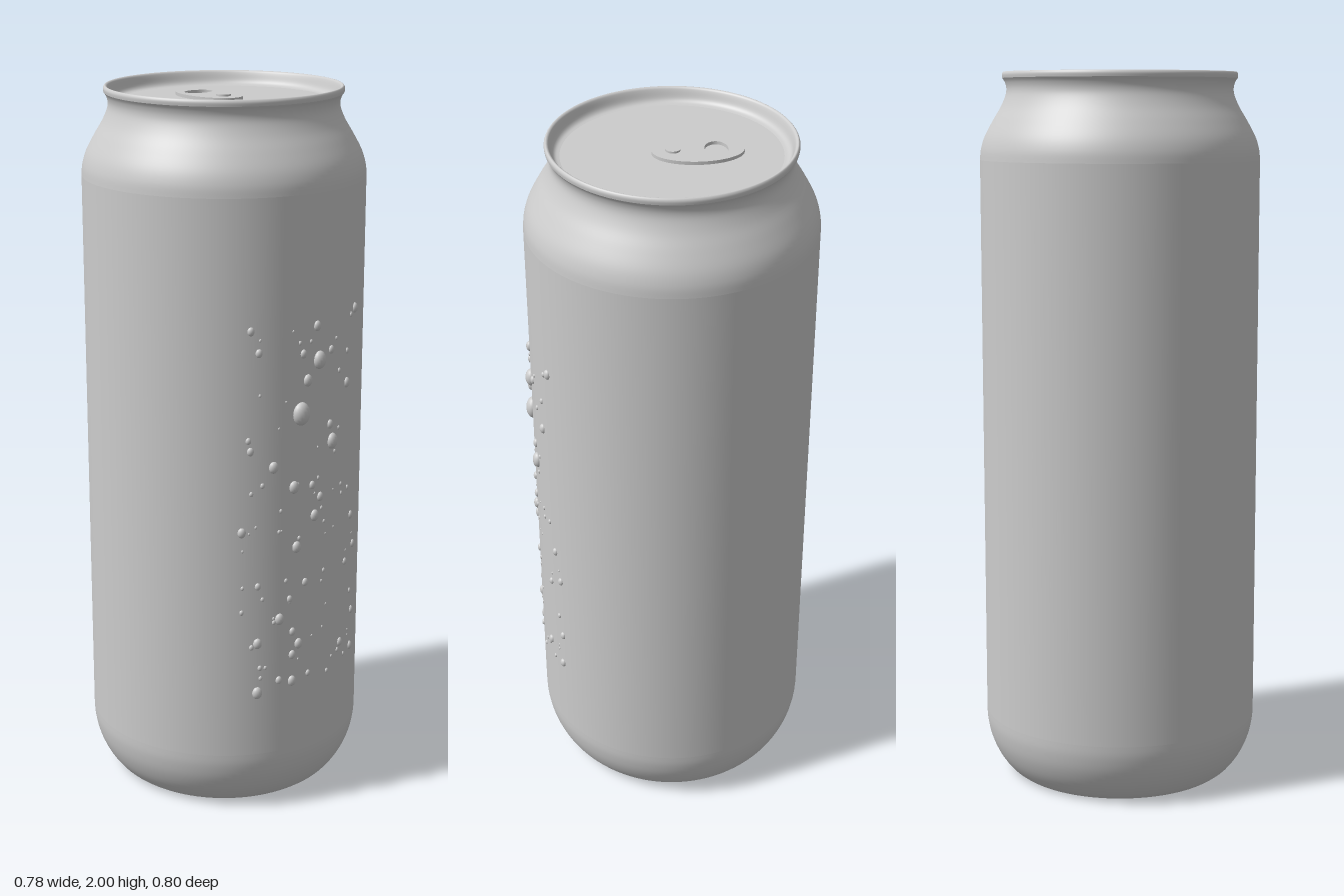
import * as THREE from 'three';

export function createModel() {
  const group = new THREE.Group();
  const metal = new THREE.MeshStandardMaterial({ color: 0xcccccc });
  metal.name = 'plain aluminium';
  const CZ = -0.01, R = 0.39, LID_Y = 1.96;

  const add = (name, geometry, parent = group) => {
    const mesh = new THREE.Mesh(geometry, metal);
    mesh.name = name;
    parent.add(mesh);
    return mesh;
  };

  // Can shell, turned section by section so the edges between them stay sharp
  const can = new THREE.Group();
  can.name = 'can';
  can.position.z = CZ;
  group.add(can);
  const turn = (name, points, steps) => {
    const v = points.map(([r, y]) => new THREE.Vector2(r, y));
    const profile = steps ? new THREE.SplineCurve(v).getPoints(steps) : v;
    return add(name, new THREE.LatheGeometry(profile, 96), can);
  };

  turn('baseDome', [[0, 0.1], [0.1, 0.09], [0.2, 0.06], [0.27, 0.025], [0.297, 0]], 20);
  turn('baseRing', [[0.297, 0], [0.308, 0]]);
  turn('baseCurve', [[0.308, 0], [0.331, 0.018], [0.358, 0.055], [0.378, 0.1], [0.388, 0.145], [R, 0.18]], 20);
  turn('wall', [[R, 0.18], [R, 1.76]]);
  turn('shoulder', [[R, 1.76], [0.387, 1.79], [0.376, 1.825], [0.353, 1.868], [0.331, 1.905],
    [0.318, 1.935], [0.315, 1.955], [0.319, 1.972], [0.326, 1.983]], 36);
  turn('rim', [[0.326, 1.983], [0.327, 1.993], [0.323, 2], [0.317, 1.998], [0.313, 1.99],
    [0.307, 1.972], [0.299, 1.963], [0.288, LID_Y]], 28);
  turn('lid', [[0.288, LID_Y], [0, LID_Y]]);

  // Opening tab: a slim oval plate with a finger hole and a rivet
  const tab = new THREE.Shape().absellipse(0, 0.077, 0.071, 0.12, 0, Math.PI * 2);
  tab.holes.push(new THREE.Path().absellipse(0, 0.124, 0.042, 0.031, 0, Math.PI * 2, true));
  const tabGeometry = new THREE.ExtrudeGeometry(tab, { depth: 0.009, bevelEnabled: false, curveSegments: 48 });
  tabGeometry.rotateX(-Math.PI / 2);
  add('tab', tabGeometry).position.y = LID_Y;
  add('rivet', new THREE.CylinderGeometry(0.02, 0.02, 0.014, 32)).position.set(0, LID_Y + 0.007, -0.012);

  // Water droplets on the front wall: x, y, size
  const droplets = [
    [-0.04, 1.17, 0.027], [0.02, 1.31, 0.021], [0.075, 1.07, 0.019], [-0.12, 1.03, 0.014],
    [0.01, 1.405, 0.012], [0.18, 1.42, 0.012], [-0.18, 1.41, 0.01], [-0.16, 1.35, 0.01],
    [-0.02, 1.26, 0.014], [0.065, 1.33, 0.01], [-0.035, 1.335, 0.01], [0.14, 1.22, 0.012],
    [0.14, 1.31, 0.007], [0.065, 1.12, 0.011], [-0.18, 1.08, 0.01], [-0.185, 1.11, 0.008],
    [-0.06, 0.965, 0.015], [0, 0.96, 0.01], [0.03, 0.92, 0.011], [0.01, 0.87, 0.014],
    [-0.2, 0.85, 0.012], [0.18, 0.82, 0.01], [0.2, 0.725, 0.01], [-0.05, 0.79, 0.014],
    [-0.02, 0.68, 0.01], [-0.16, 0.69, 0.009], [-0.1, 0.585, 0.014], [-0.07, 0.64, 0.009],
    [-0.16, 0.52, 0.013], [-0.06, 0.54, 0.01], [-0.04, 0.5, 0.013], [-0.06, 0.47, 0.011],
    [0.13, 0.45, 0.011], [0.2, 0.52, 0.01], [0.195, 0.41, 0.011], [-0.16, 0.37, 0.015],
    [-0.06, 0.39, 0.013], [-0.1, 0.4, 0.01], [-0.005, 0.4, 0.008], [0.15, 0.69, 0.009],
  ];

  // Fine spray scattered between the larger drops
  let seed = 17;
  const random = () => (seed = (seed * 16807) % 2147483647) / 2147483647;
  for (let i = 0; i < 60; i++) {
    droplets.push([(random() - 0.5) * 0.4, 0.37 + random() * 1.04, 0.003 + random() * 0.004]);
  }

  const drops = new THREE.Group();
  drops.name = 'droplets';
  drops.position.z = CZ;
  group.add(drops);
  const bead = new THREE.SphereGeometry(1, 16, 12);
  for (const [x, y, size] of droplets) {
    const angle = Math.asin(x / R);
    const drop = add('droplet', bead, drops);
    drop.position.set(x, y, R * Math.cos(angle));
    drop.rotation.y = angle;
    drop.scale.set(size * 0.95, size * 1.2, size * 0.75);
  }

  return group;
}
